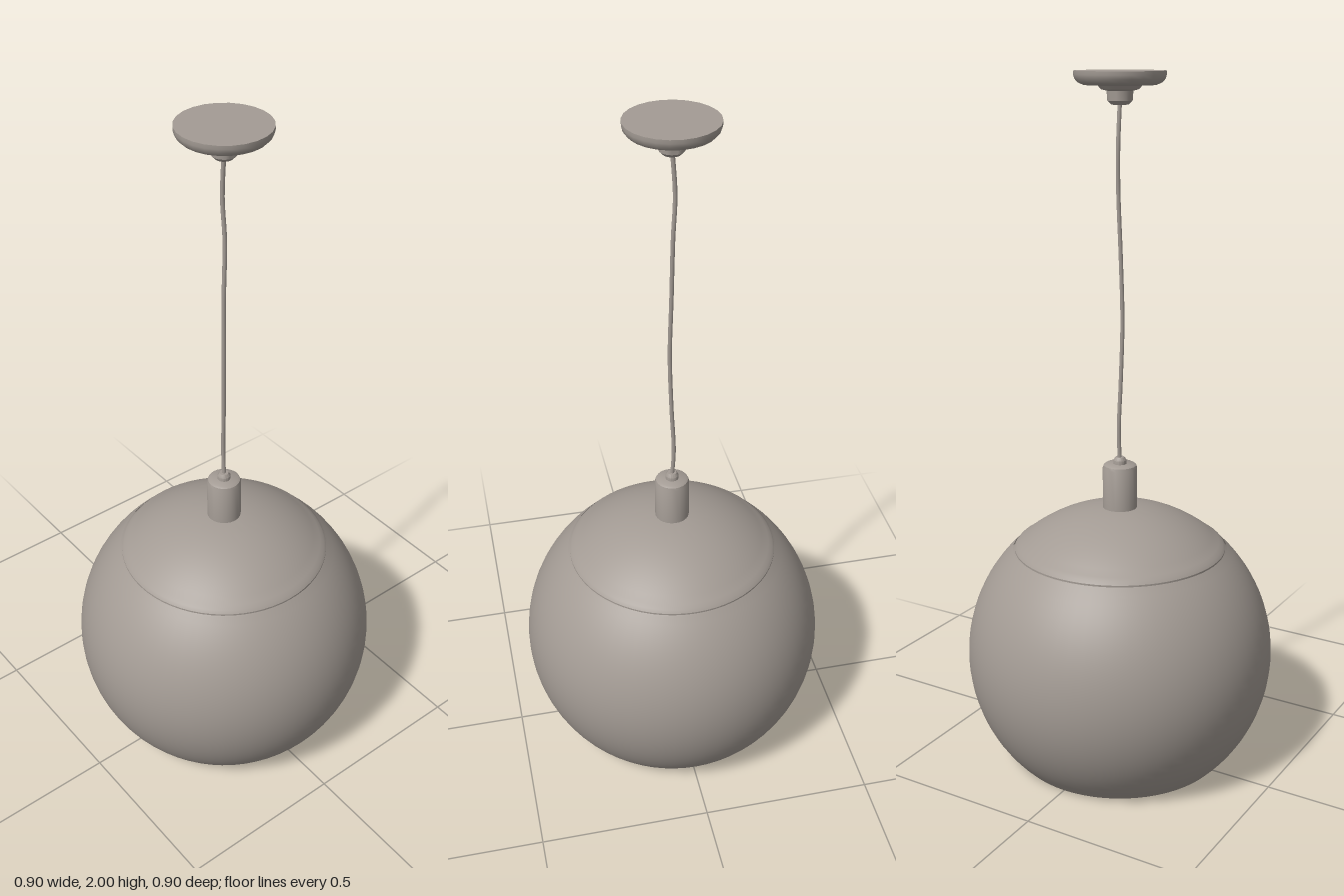
import * as THREE from 'three';
import { toCreasedNormals } from 'three/addons/utils/BufferGeometryUtils.js';

const CENTRE_Y = 0.323, RADIUS = 0.452;

// Arc of the globe's profile between two heights, as [radius, y] points
function globeArc(radius, y0, y1, steps) {
  const a0 = Math.asin(Math.max(-1, Math.min(1, (y0 - CENTRE_Y) / radius)));
  const a1 = Math.asin(Math.max(-1, Math.min(1, (y1 - CENTRE_Y) / radius)));
  return Array.from({ length: steps + 1 }, (_, i) => {
    const a = a0 + (a1 - a0) * i / steps;
    return [Math.max(0, radius * Math.cos(a)), CENTRE_Y + radius * Math.sin(a)];
  });
}

export function createModel() {
  const model = new THREE.Group();
  model.name = 'pendantLamp';
  const grey = new THREE.MeshStandardMaterial({ color: 0xa39b94, side: THREE.DoubleSide });
  grey.name = 'warmGrey';

  function add(name, geometry) {
    const mesh = new THREE.Mesh(geometry, grey);
    mesh.name = name;
    model.add(mesh);
    return mesh;
  }
  function lathe(name, points, sides) {
    const profile = points.map(([r, y]) => new THREE.Vector2(r, y));
    return add(name, toCreasedNormals(new THREE.LatheGeometry(profile, sides), 0.6));
  }

  // Globe shade: inner wall down to the open rim, then outer wall up to the cap
  lathe('shade', [
    ...globeArc(RADIUS - 0.008, 0.648, 0, 28),
    ...globeArc(RADIUS, 0, 0.648, 28),
  ], 64);

  // Cap with a small rounded lip, sitting on the shade
  lathe('cap', [
    [0.295, 0.645], [0.309, 0.648], [0.309, 0.653], [0.302, 0.662],
    ...globeArc(RADIUS, 0.669, CENTRE_Y + RADIUS, 12),
  ], 64);

  // Lamp holder with a softened top edge
  lathe('lampHolder', [
    [0, 0.76], [0.05, 0.76], [0.05, 0.892], [0.047, 0.9], [0.041, 0.904], [0, 0.904],
  ], 24);

  // Cable grip on top of the holder
  lathe('cableGrip', [
    [0, 0.9], [0.019, 0.9], [0.019, 0.915], [0.013, 0.924], [0, 0.924],
  ], 16);

  // Slightly wavy hanging cable
  const path = [
    [0, 0.91, 0], [0.001, 1.0, -0.005], [-0.002, 1.15, 0.001], [-0.005, 1.32, 0.005],
    [-0.002, 1.5, 0.001], [0.004, 1.68, -0.002], [0.001, 1.8, -0.008], [0, 1.93, 0],
  ].map((p) => new THREE.Vector3(...p));
  add('cable', new THREE.TubeGeometry(new THREE.CatmullRomCurve3(path), 48, 0.006, 8));

  // Ceiling canopy with stepped cord outlet beneath
  lathe('canopy', [
    [0, 1.912], [0.024, 1.912], [0.034, 1.922], [0.036, 1.948], [0.052, 1.952],
    [0.06, 1.962], [0.098, 1.963], [0.113, 1.969], [0.122, 1.979], [0.125, 1.99],
    [0.125, 2], [0, 2],
  ], 24);

  return model;
}
